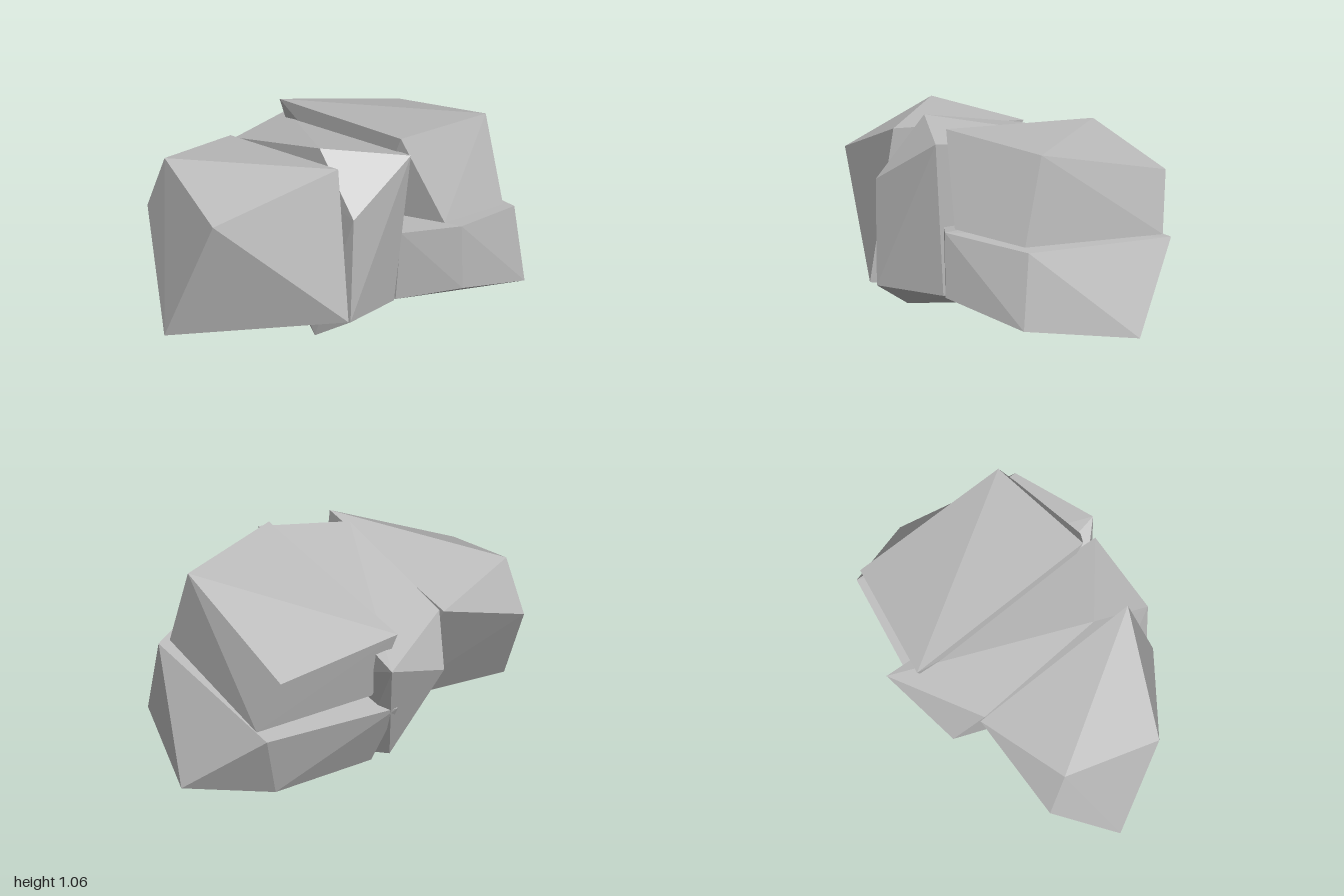
import * as THREE from 'three';
import { ConvexGeometry } from 'three/addons/geometries/ConvexGeometry.js';

const stone = new THREE.MeshStandardMaterial({ color: 0xbebebe });
stone.name = 'light grey stone';

// One faceted boulder spanning its corner points
function boulder(name, corners) {
  const mesh = new THREE.Mesh(
    new ConvexGeometry(corners.map((c) => new THREE.Vector3(...c))),
    stone
  );
  mesh.name = name;
  return mesh;
}

export function createModel() {
  const group = new THREE.Group();
  group.name = 'rockCluster';

  group.add(
    // Large block on the -x side
    boulder('sideBoulder', [
      [-0.88, 0.72, 0.35], [-0.865, 0.895, -0.2], [-0.25, 0.985, 0.53],
      [-0.37, 0.84, -0.41], [-0.905, 0.6, -0.31],
      [-1, 0.03, 0.05], [-0.265, 0.19, 0.67], [-0.35, 0.045, 0.09],
    ]),
    // Tall slab wedged in the middle
    boulder('middleBoulder', [
      [-0.25, 1.025, 0.33], [0.15, 0.995, 0.57], [0.105, 0.775, -0.69],
      [-0.36, 0.837, -0.38], [-0.3, 0.576, -0.53],
      [-0.23, 0.745, 0.66], [-0.24, 0.175, 0.645], [0.1, 0.165, 0.48],
      [-0.31, 0.02, 0.39], [0, 0, -0.18], [-0.07, 0.06, -0.37],
    ]),
    // Wide base block on the +x side
    boulder('lowerBoulder', [
      [0.13, 0.54, 0.5], [0.38, 0.6, 0.69], [0.8, 0.545, 0.475],
      [0.735, 0.45, -0.5], [-0.02, 0.44, -0.54],
      [0.12, 0.16, 0.46], [0.385, 0.255, 0.69], [0.83, 0.145, 0.53],
      [1, 0.04, -0.09], [0.6, 0.035, -0.36], [0, 0.01, -0.305],
    ]),
    // Block resting on the base block
    boulder('upperBoulder', [
      [0.135, 1.06, 0.49], [0.715, 1.02, 0.325],
      [0.665, 0.789, -0.52], [0, 0.905, -0.57],
      [0.335, 0.59, 0.59], [0.745, 0.56, 0.455],
      [0.755, 0.48, -0.43], [0.1, 0.58, 0.25], [0.08, 0.5, -0.45],
    ])
  );

  return group;
}
